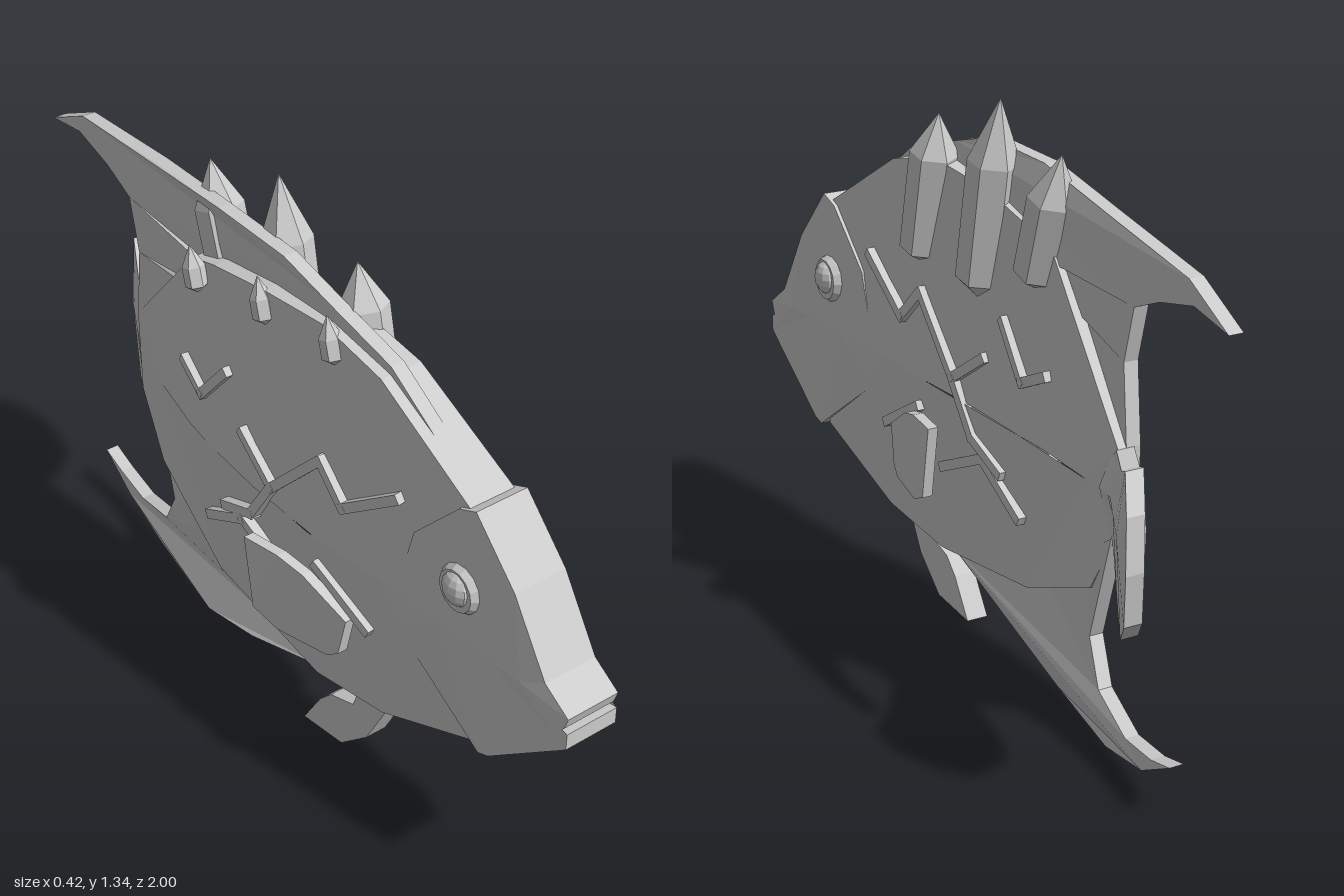
import * as THREE from 'three';

// Points on the side profile are written [z, y].
const CENTRE = [[1, -0.015], [0.6, -0.03], [0.2, -0.045], [-0.05, -0.045], [-0.3, -0.025], [-0.62, 0.025], [-1, 0.055]];
const BODY_SPINE = { front: 0.65, back: -0.5, y: 0.61 };

// Piecewise linear lookup over descending z
function lookup(table, z) {
  if (z >= table[0][0]) return table[0][1];
  for (let i = 1; i < table.length; i++) {
    const [z0, v0] = table[i - 1], [z1, v1] = table[i];
    if (z >= z1) return v0 + ((v1 - v0) * (z0 - z)) / (z0 - z1);
  }
  return table[table.length - 1][1];
}
const bend = (z) => lookup(CENTRE, z);
const tailBend = (z) => lookup([[-0.5, 0.01], [-0.62, 0.035], [-0.9, 0.195]], z);

// Closed outline with a rim and two sides rising to a central spine
function lens(outline, spine, rim, ridge, centre) {
  const pos = [];
  const tri = (...pts) => pts.forEach((p) => pos.push(...p));
  const at = ([z, y], s, half) => [centre(z) + s * half, y, z];
  outline.forEach((a, i) => {
    const b = outline[(i + 1) % outline.length];
    const [sa, sb] = [a, b].map((p) => [THREE.MathUtils.clamp(p[0], spine.back, spine.front), spine.y]);
    const corners = (s) => [at(a, s, rim(a[0])), at(b, s, rim(b[0])), at(sa, s, ridge(sa[0])), at(sb, s, ridge(sb[0]))];
    const [ap, bp, sap, sbp] = corners(1), [am, bm, sam, sbm] = corners(-1);
    tri(bp, ap, sap); tri(bp, sap, sbp);
    tri(am, bm, sam); tri(bm, sbm, sam);
    tri(ap, bp, am); tri(bp, bm, am);
  });
  const g = new THREE.BufferGeometry();
  g.setAttribute('position', new THREE.Float32BufferAttribute(pos, 3));
  g.computeVertexNormals();
  return g;
}

// Flat plate cut to an outline, then curved sideways by a rule
function plate(outline, thickness, centre) {
  const shape = new THREE.Shape(outline.map(([z, y]) => new THREE.Vector2(-z, y)));
  const g = new THREE.ExtrudeGeometry(shape, { depth: thickness, bevelEnabled: false });
  g.translate(0, 0, -thickness / 2).rotateY(Math.PI / 2);
  const p = g.attributes.position;
  for (let i = 0; i < p.count; i++) p.setX(i, p.getX(i) + centre(p.getZ(i), p.getY(i)));
  g.computeVertexNormals();
  return g;
}

export function createModel() {
  const group = new THREE.Group();
  const grey = new THREE.MeshStandardMaterial({ color: 0xcccccc, flatShading: true });
  grey.name = 'plain grey';
  const add = (name, geometry) => {
    const mesh = new THREE.Mesh(geometry, grey);
    mesh.name = name;
    group.add(mesh);
    return mesh;
  };

  // Body
  const bodyRidge = (z) => lookup([[0.7, 0.065], [0.2, 0.085], [-0.2, 0.07], [-0.62, 0.03]], z);
  const bodyRim = (z) => lookup([[0.7, 0.06], [0.2, 0.05], [-0.2, 0.042], [-0.62, 0.028]], z);
  add('body', lens([
    [0.69, 0.93], [0.4, 1.1], [0.22, 1.14], [0, 1.12], [-0.2, 1.08], [-0.3, 1.05], [-0.62, 0.72],
    [-0.61, 0.51], [-0.5, 0.36], [-0.2, 0.235], [0.2, 0.185], [0.43, 0.22], [0.72, 0.34],
  ], BODY_SPINE, bodyRim, bodyRidge, bend));

  // Head with open mouth
  add('head', lens([
    [0.71, 0.945], [0.66, 0.925], [0.53, 0.79], [0.475, 0.59], [0.49, 0.51], [0.75, 0.33], [0.78, 0.34],
    [1, 0.51], [1, 0.55], [0.94, 0.545], [0.96, 0.53], [0.99, 0.56], [1, 0.59], [0.93, 0.64], [0.83, 0.81],
  ], { front: 0.87, back: 0.62, y: 0.61 }, () => 0.069, () => 0.08, bend));

  // Fins
  add('dorsalFin', plate([
    [0.6, 0.95], [0.66, 0.93], [0.4, 1.12], [0.2, 1.18], [0.05, 1.22], [-0.2, 1.22], [-0.5, 1.19], [-0.85, 1.15],
    [-1, 1.08], [-0.87, 1.1], [-0.74, 1.07], [-0.64, 1.03], [-0.6, 0.9], [-0.62, 0.72], [-0.3, 0.95], [0, 1.02], [0.3, 1.02],
  ], 0.035, (z) => bend(z) - 0.01));
  add('analFin', plate([
    [0.44, 0.23], [0.2, 0.175], [-0.1, 0.08], [-0.3, 0.03], [-0.6, 0.03], [-0.78, 0.065], [-0.9, 0.13], [-0.82, 0.11],
    [-0.7, 0.1], [-0.55, 0.14], [-0.49, 0.24], [-0.61, 0.52], [-0.45, 0.42], [-0.2, 0.3], [0.2, 0.25],
  ], 0.035, (z) => bend(z) + 0.035 * THREE.MathUtils.smoothstep(-z, 0.3, 0.9)));
  add('tailFin', lens([
    [-0.58, 0.68], [-0.62, 0.72], [-0.75, 0.735], [-0.84, 0.775], [-0.89, 0.7], [-0.9, 0.58],
    [-0.88, 0.46], [-0.8, 0.39], [-0.7, 0.43], [-0.61, 0.51], [-0.56, 0.56],
  ], { front: -0.56, back: -0.8, y: 0.62 }, () => 0.022, () => 0.036, tailBend));
  add('pelvicFin', plate([
    [0.44, 0.23], [0.37, 0.1], [0.28, 0.02], [0.14, 0.005], [0.2, 0.1], [0.24, 0.14], [0.32, 0.165], [0.34, 0.22],
  ], 0.055, () => -0.058));

  // Surface of the body at a given profile point
  const surface = (z, y, s) => {
    const t = Math.min(1, Math.abs(y - BODY_SPINE.y) / 0.45);
    return bend(z) + s * THREE.MathUtils.lerp(bodyRidge(z), bodyRim(z), t);
  };

  // Raised zigzag bars on the flanks
  const bars = [
    [[0.48, 0.85], [0.32, 0.74], [0.24, 0.82], [0.08, 0.66], [0, 0.54], [-0.12, 0.49]],
    [[0.08, 0.66], [-0.04, 0.74]],
    [[0.14, 0.42], [-0.04, 0.5], [-0.2, 0.41]],
    [[0.4, 0.45], [0.24, 0.54]],
    [[-0.12, 0.85], [-0.22, 0.74], [-0.31, 0.78]],
  ];
  for (const [side, s] of [['left', 1], ['right', -1]]) {
    for (const line of bars) {
      for (let i = 1; i < line.length; i++) {
        const [a, b] = [line[i - 1], line[i]].map(([z, y]) => new THREE.Vector3(surface(z, y, s) + s * 0.006, y, z));
        const bar = add(side + 'FlankBar', new THREE.BoxGeometry(0.024, 0.024, a.distanceTo(b) + 0.018));
        bar.position.copy(a).add(b).multiplyScalar(0.5);
        bar.lookAt(b);
      }
    }

    // Eye: ring and ball
    const eyeX = bend(0.68) + s * 0.074;
    const rim = add(side + 'EyeRim', new THREE.CylinderGeometry(0.05, 0.064, 0.022, 14));
    rim.rotation.z = -s * Math.PI / 2;
    rim.position.set(eyeX + s * 0.004, 0.735, 0.68);
    const ball = add(side + 'Eye', new THREE.SphereGeometry(0.042, 12, 8));
    ball.scale.x = 0.7;
    ball.position.set(eyeX + s * 0.006, 0.74, 0.68);

    // Pectoral fin flaring outward toward the rear
    const flare = (z) => -0.045 + s * lookup([[0.36, 0.085], [0.1, 0.145], [0.06, 0.145]], z);
    add(side + 'PectoralFin', plate([
      [0.36, 0.46], [0.34, 0.36], [0.31, 0.34], [0.17, 0.34], [0.1, 0.37], [0.07, 0.55], [0.17, 0.55], [0.24, 0.53],
    ], 0.026, flare));
  }

  // Pointed hexagonal crystals
  const crystal = (name, x, [z0, y0], [z1, y1], r, tip) => {
    const a = new THREE.Vector3(x, y0, z0), b = new THREE.Vector3(x, y1, z1);
    const len = a.distanceTo(b);
    const profile = [[0, 0], [r, tip * 0.35], [r, len - tip], [0, len]].map((p) => new THREE.Vector2(...p));
    const mesh = add(name, new THREE.LatheGeometry(profile, 6));
    mesh.position.copy(a);
    mesh.quaternion.setFromUnitVectors(new THREE.Vector3(0, 1, 0), b.sub(a).normalize());
  };
  crystal('frontCrystal', 0.006, [0.28, 0.88], [0.2, 1.25], 0.058, 0.1);
  crystal('middleCrystal', 0.006, [0.02, 0.86], [-0.07, 1.34], 0.06, 0.15);
  crystal('rearCrystal', 0.006, [-0.22, 0.95], [-0.32, 1.27], 0.057, 0.11);
  for (const [z, y] of [[0.24, 1.12], [0, 1.1], [-0.25, 1.06]]) {
    crystal('smallCrystal', -0.095, [z + 0.015, y - 0.06], [z - 0.015, y + 0.05], 0.026, 0.05);
  }
  return group;
}
